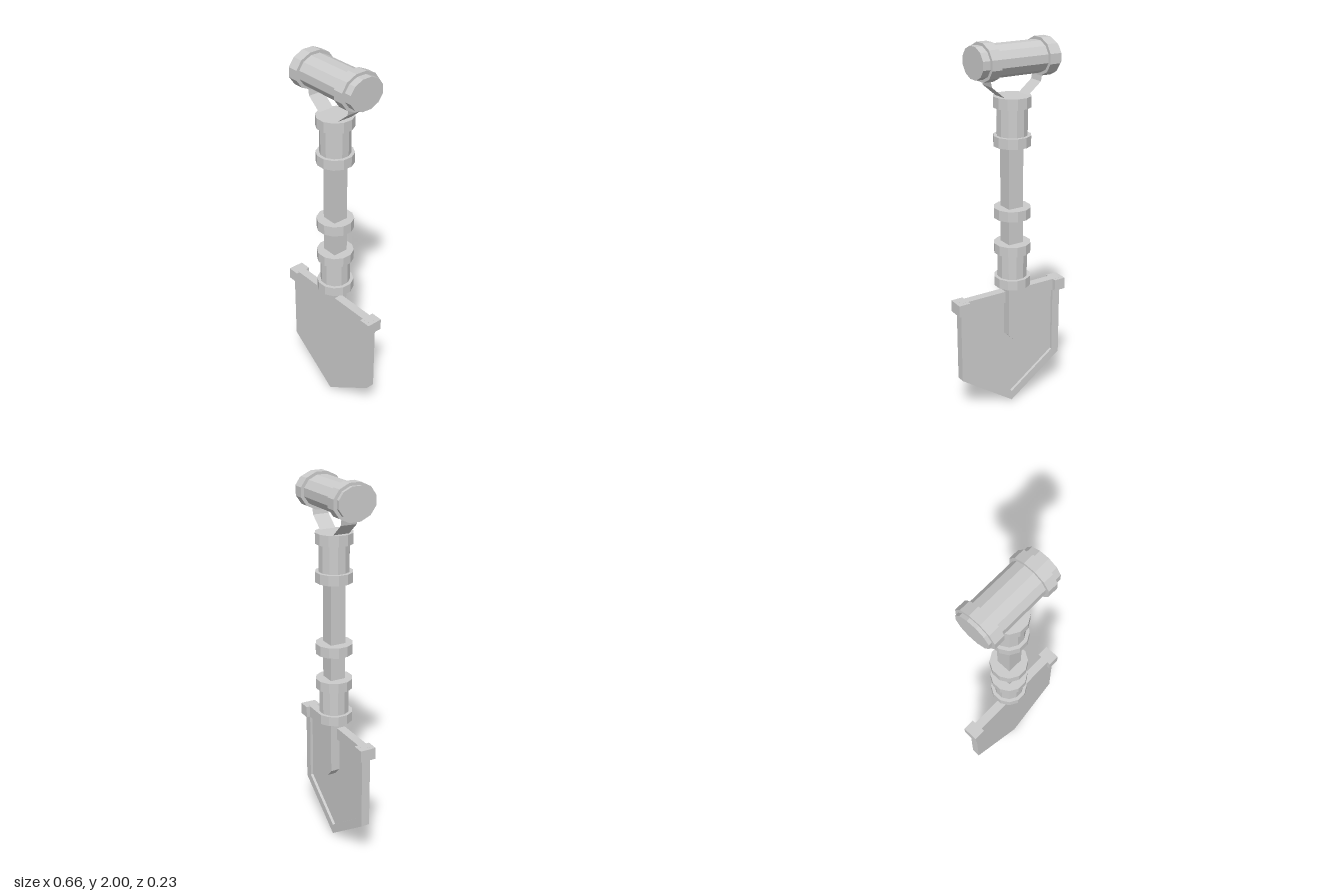
import * as THREE from 'three';

export function createModel() {
  const model = new THREE.Group();
  const mat = new THREE.MeshStandardMaterial({ color: 0xcccccc, flatShading: true });
  const thinMat = new THREE.MeshStandardMaterial({ color: 0xcccccc, flatShading: true, side: THREE.DoubleSide });

  function add(name, geo, x = 0, y = 0, z = 0, parent = model, material = mat) {
    const mesh = new THREE.Mesh(geo, material);
    mesh.name = name;
    mesh.position.set(x, y, z);
    parent.add(mesh);
    return mesh;
  }

  // Twelve-sided drum with flats facing the axes, from y0 to y1
  function drum(r, y0, y1) {
    return new THREE.CylinderGeometry(r, r, y1 - y0, 12)
      .rotateY(Math.PI / 12).translate(0, (y0 + y1) / 2, 0);
  }

  function extrude(shape, z0, z1) {
    return new THREE.ExtrudeGeometry(shape, { depth: z1 - z0, bevelEnabled: false }).translate(0, 0, z0);
  }

  // Pentagon pointing down
  function pentagon(halfWidth, top, shoulder, tip) {
    return [[-halfWidth, top], [-halfWidth, shoulder], [0, tip], [halfWidth, shoulder], [halfWidth, top]]
      .map(([x, y]) => new THREE.Vector2(x, y));
  }

  // Blade: solid front plate and a raised rim around the back
  const blade = new THREE.Group();
  blade.name = 'blade';
  model.add(blade);
  const outline = pentagon(0.31, 0.68, 0.22, 0);
  const rim = new THREE.Shape(outline);
  rim.holes.push(new THREE.Path(pentagon(0.265, 0.615, 0.245, 0.055).reverse()));
  add('bladePlate', extrude(new THREE.Shape(outline), 0.01, 0.042), 0, 0, 0, blade);
  add('bladeRim', extrude(rim, -0.005, 0.01), 0, 0, 0, blade);
  for (const side of [-1, 1]) {
    add('bladeCorner', new THREE.BoxGeometry(0.065, 0.063, 0.086), side * 0.298, 0.648, 0.017, blade);
  }

  // Square shaft, its pointed tongue running down the back of the blade
  add('shaft', new THREE.BoxGeometry(0.085, 0.84, 0.083), -0.003, 1.1, 0.001);
  add('shaftTongue', extrude(new THREE.Shape(pentagon(0.0425, 0.70, 0.43, 0.385)), -0.04, 0.015), -0.003);

  // Collars and grips along the shaft
  for (const [y0, y1] of [[0.72, 0.772], [0.907, 0.96], [1.1, 1.155], [1.48, 1.533], [1.675, 1.73]]) {
    add('collar', drum(0.097, y0, y1), -0.005);
  }
  for (const [y0, y1] of [[0.76, 0.92], [1.52, 1.69]]) {
    add('grip', drum(0.079, y0, y1), -0.005);
  }

  // Thin bent straps joining the top collar to the handle
  for (const side of [-1, 1]) {
    const strap = new THREE.PlaneGeometry(1, 0.087, 2, 1).rotateX(Math.PI / 2);
    const path = [[0.065, 1.728], [0.14, 1.79], [0.155, 1.87]];
    const pos = strap.attributes.position;
    for (let i = 0; i < pos.count; i++) {
      const [x, y] = path[Math.round((pos.getX(i) + 0.5) * 2)];
      pos.setXYZ(i, side * x, y, pos.getZ(i));
    }
    strap.computeVertexNormals();
    add('handleStrap', strap, -0.005, 0, 0.001, model, thinMat);
  }

  // Crosswise handle, slightly flattened in height, with two bands
  const handle = new THREE.Group();
  handle.name = 'handle';
  handle.position.set(0, 1.908, -0.001);
  handle.scale.y = 0.81;
  model.add(handle);
  const across = (r, x0, x1) => drum(r, -x1, -x0).rotateZ(Math.PI / 2);
  add('handleBar', across(0.1, -0.225, 0.214), 0, 0, 0, handle);
  add('handleBand', across(0.118, -0.207, -0.15), 0, 0, 0, handle);
  add('handleBand', across(0.118, 0.12, 0.175), 0, 0, 0, handle);

  return model;
}
